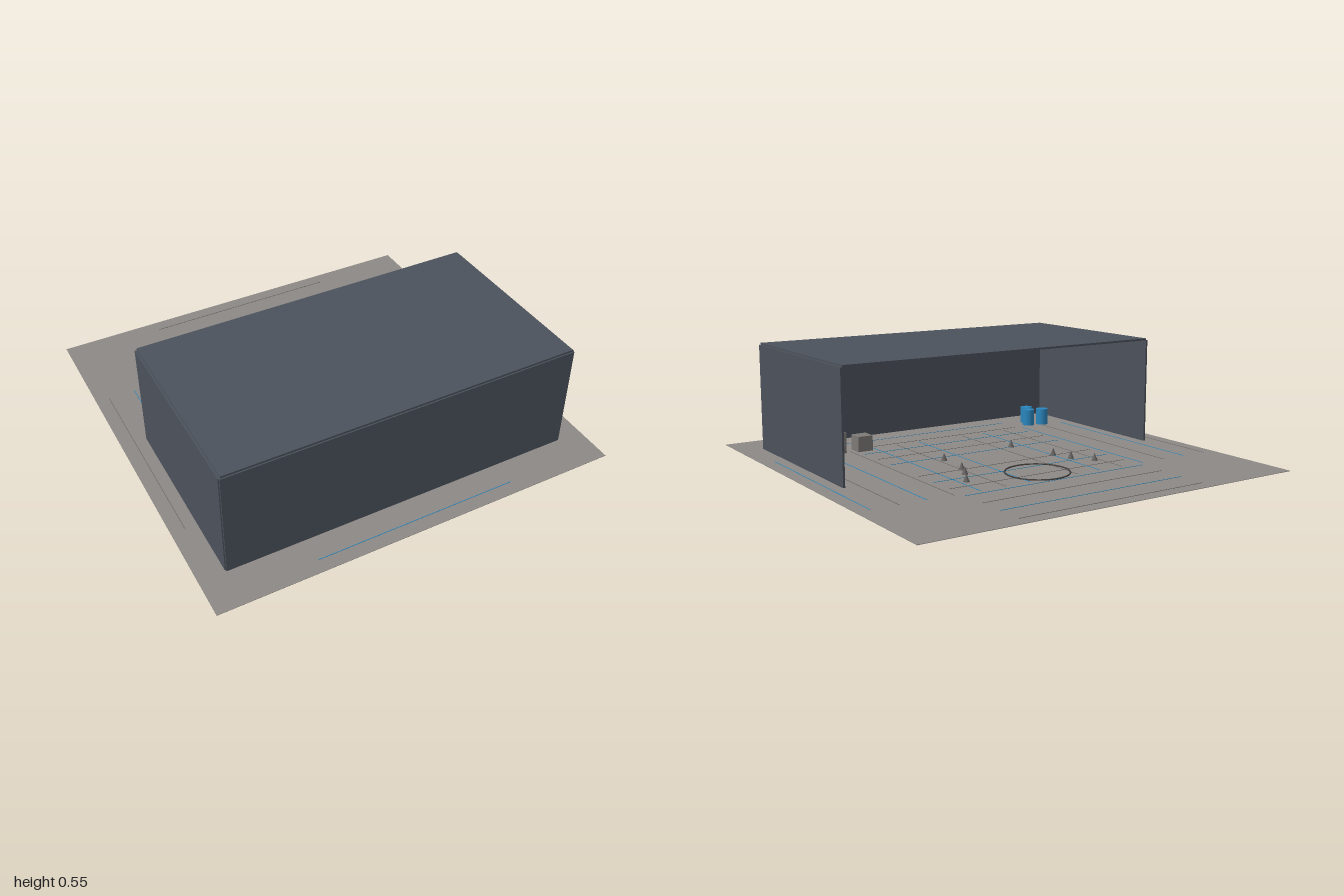
import * as THREE from 'three';

const paint = (name, color) => Object.assign(new THREE.MeshStandardMaterial({ color }), { name });

export function createModel() {
  const model = new THREE.Group();
  model.name = 'hangar';
  const ground = paint('ground grey', 0x8c8985);
  const wall = paint('slate', 0x4c525c);
  const blue = paint('line blue', 0x2a86bd);
  const grey = paint('line grey', 0x6f6d6a);
  const dark = paint('ring dark', 0x403e3c);
  const stone = paint('crate grey', 0x7c7975);
  const coneGrey = paint('cone grey', 0x666462);

  const add = (name, geo, mat, x, y, z) => {
    const m = new THREE.Mesh(geo, mat);
    m.name = name;
    m.position.set(x, y, z);
    model.add(m);
    return m;
  };
  const box = (name, mat, w, h, d, x, y, z) =>
    add(name, new THREE.BoxGeometry(w, h, d), mat, x, y, z);

  // Ground plate
  box('groundPlate', ground, 2, 0.002, 2, 0, 0.001, 0);

  // Shelter, open towards the back
  box('frontWall', wall, 1.74, 0.535, 0.01, 0, 0.2675, 0.803);
  for (const s of [-1, 1]) box('sideWall', wall, 0.01, 0.535, 0.93, s * 0.87, 0.2675, 0.335);
  box('roof', wall, 1.73, 0.01, 0.932, 0, 0.54, 0.336);

  // Floor line grid, alternating colours, none through the middle
  let index = 0;
  for (let i = -7; i <= 7; i++) {
    if (i === 0) continue;
    const p = (i * 2) / 15;
    const mat = index++ % 2 ? blue : grey;
    box('lineAlongX', mat, 1, 0.002, 0.003, 0, 0.0025, p);
    box('lineAlongZ', mat, 0.003, 0.002, 1, p, 0.0028, 0);
  }

  // Floor ring
  const ring = add('floorRing', new THREE.TorusGeometry(0.153, 0.004, 6, 48), dark, 0, 0.004, -0.37);
  ring.rotation.x = Math.PI / 2;

  // Marker cones
  const cones = [
    [0.368, -0.335], [0.3, -0.215], [0.267, -0.135], [0.24, 0.07],
    [-0.368, -0.335], [-0.3, -0.235], [-0.267, -0.135], [-0.2, 0.135],
  ];
  for (const [x, z] of cones) {
    add('markerCone', new THREE.ConeGeometry(0.016, 0.04, 12), coneGrey, x, 0.021, z);
  }

  // Stacked crates: size, x, base y, z
  const crates = [[0.08, 0.465, 0, 0.5], [0.105, 0.615, 0, 0.53], [0.1, 0.725, 0, 0.54], [0.08, 0.67, 0.103, 0.54]];
  for (const [s, x, y, z] of crates) box('crate', stone, s, s, s, x, y + s / 2, z);

  // Barrels
  for (const [x, z] of [[-0.61, 0.555], [-0.69, 0.535], [-0.645, 0.625]]) {
    add('barrel', new THREE.CylinderGeometry(0.033, 0.033, 0.09, 16), blue, x, 0.045, z);
  }
  return model;
}
